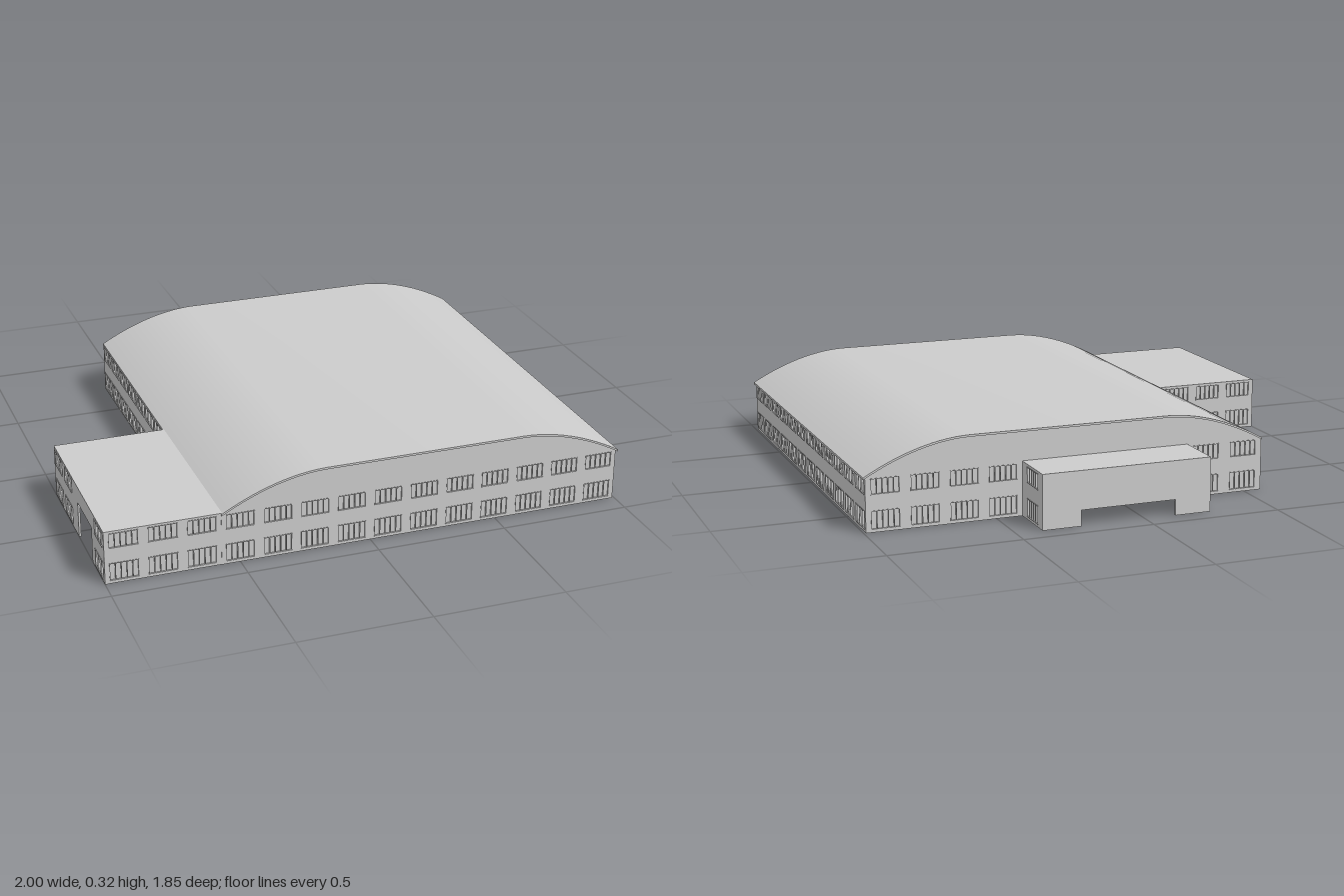
import * as THREE from 'three';
import { toCreasedNormals } from 'three/addons/utils/BufferGeometryUtils.js';

const material = new THREE.MeshStandardMaterial({ color: 0xcccccc, side: THREE.DoubleSide });

const WALL_H = 0.205, WALL_T = 0.008, PITCH = 0.138, WIN_W = 0.108;
const WINDOW_ROWS = [[0.01, 0.08], [0.138, 0.198]];
const X0 = -0.57, X1 = 1, BACK = -0.73, FRONT = 0.92;      // hall
const ANNEX_X = -1, ANNEX_BACK = 0.18, ANNEX_FRONT = 0.915; // side annex
const PORCH = { x0: -0.26, x1: 0.4, back: -0.925, inner: -0.53 };

function mesh(name, geometry) {
  const m = new THREE.Mesh(geometry, material);
  m.name = name;
  return m;
}

function box(name, x0, x1, y0, y1, z0, z1) {
  const m = mesh(name, new THREE.BoxGeometry(x1 - x0, y1 - y0, z1 - z0));
  m.position.set((x0 + x1) / 2, (y0 + y1) / 2, (z0 + z1) / 2);
  return m;
}

function rectPath(Type, x0, x1, y0, y1) {
  return new Type([[x0, y0], [x1, y0], [x1, y1], [x0, y1]].map(p => new THREE.Vector2(...p)));
}

// Glazing: a recessed pane with rails and mullions
function windowUnit(x, [y0, y1]) {
  const g = new THREE.Group();
  g.name = 'window';
  const x1 = x + WIN_W, bar = 0.0025;
  g.add(box('pane', x, x1, y0, y1, -0.006, -0.005));
  for (const y of [y0, y1 - bar]) g.add(box('rail', x, x1, y, y + bar, -0.007, 0.002));
  for (let i = 0; i <= 5; i++) {
    const c = x + ((WIN_W - bar) * i) / 5;
    g.add(box('mullion', c, c + bar, y0, y1, -0.007, 0.001));
  }
  return g;
}

// Straight wall between two plan points, facing outward; opening = [from, to, height]
function wall(name, [ax, az], [bx, bz], { windows = true, opening = null } = {}) {
  const g = new THREE.Group();
  g.name = name;
  const length = Math.hypot(bx - ax, bz - az);
  const outline = [[0, 0]];
  if (opening) {
    const [a, b, h] = opening;
    outline.push([a, 0], [a, h], [b, h], [b, 0]);
  }
  outline.push([length, 0], [length, WALL_H], [0, WALL_H]);
  const shape = new THREE.Shape(outline.map(p => new THREE.Vector2(...p)));

  const count = windows ? Math.max(1, Math.round(length / PITCH)) : 0;
  for (let i = 0; i < count; i++) {
    const x = ((i + 0.5) * length) / count - WIN_W / 2;
    for (const row of WINDOW_ROWS) {
      const blocked = opening && x < opening[1] + 0.005 && x + WIN_W > opening[0] - 0.005 &&
        row[0] < opening[2] + 0.005;
      if (blocked) continue;
      shape.holes.push(rectPath(THREE.Path, x, x + WIN_W, ...row));
      g.add(windowUnit(x, row));
    }
  }
  const geo = new THREE.ExtrudeGeometry(shape, { depth: WALL_T, bevelEnabled: false });
  geo.translate(0, 0, -WALL_T);
  g.add(mesh('wallPanel', geo));
  g.position.set(ax, 0, az);
  g.rotation.y = Math.atan2(az - bz, bx - ax);
  return g;
}

// Roof height: flat crown with a curved shoulder on each side
const SHOULDER = 0.4, RISE = 0.12;
function roofY(x) {
  const d = Math.min(x - X0, X1 - x);
  const t = 1 - Math.min(1, d / SHOULDER);
  return WALL_H + RISE * (1 - Math.pow(t, 1.9));
}

// Curved strip following the roof, between two depths below its surface
function archStrip(name, top, bottom, z0, z1) {
  const xs = [];
  for (let i = 0; i <= 14; i++) xs.push(X0 + (SHOULDER * i) / 14);
  for (let i = 0; i <= 14; i++) xs.push(X1 - SHOULDER + (SHOULDER * i) / 14);
  const pts = xs.map(x => new THREE.Vector2(x, roofY(x) - bottom));
  pts.push(...xs.reverse().map(x => new THREE.Vector2(x, roofY(x) - top)));
  const geo = new THREE.ExtrudeGeometry(new THREE.Shape(pts), { depth: z1 - z0, bevelEnabled: false });
  geo.translate(0, 0, z0);
  return mesh(name, toCreasedNormals(geo, 0.5));
}

// Gable infill under the arch
function gable(name, z) {
  const pts = [];
  for (let i = 0; i <= 48; i++) {
    const x = X0 + 0.01 + ((X1 - X0 - 0.02) * i) / 48;
    pts.push(new THREE.Vector2(x, roofY(x) - 0.004));
  }
  pts.push(new THREE.Vector2(X1 - 0.01, WALL_H - 0.004), new THREE.Vector2(X0 + 0.01, WALL_H - 0.004));
  const geo = new THREE.ExtrudeGeometry(new THREE.Shape(pts), { depth: WALL_T, bevelEnabled: false });
  geo.translate(0, 0, z);
  return mesh(name, geo);
}

export function createModel() {
  const model = new THREE.Group();
  model.name = 'hallBuilding';
  const f = FRONT - 0.006, b = BACK + 0.006, e = X1 - 0.008;

  // Hall walls
  model.add(
    wall('frontWall', [X0, f], [e, f]),
    wall('leftWall', [e, f], [e, b]),
    wall('backWallLeft', [e, b], [PORCH.x1, b]),
    wall('backWallRight', [PORCH.x0, b], [X0, b]),
    wall('rightWall', [X0, b], [X0, ANNEX_BACK]),
    gable('frontGable', f - WALL_T),
    gable('backGable', b)
  );

  // Curved roof with arch ribs and lengthwise purlins beneath
  model.add(archStrip('hallRoof', 0, 0.008, BACK, FRONT));
  const ribs = 12;
  for (let i = 1; i < ribs; i++) {
    const z = BACK + ((FRONT - BACK) * i) / ribs;
    model.add(archStrip('roofRib', 0.007, 0.02, z - 0.004, z + 0.004));
  }
  for (let i = 1; i < 11; i++) {
    const x = X0 + ((X1 - X0) * i) / 11, y = roofY(x);
    model.add(box('purlin', x - 0.004, x + 0.004, y - 0.02, y - 0.006, BACK + 0.02, FRONT - 0.02));
  }

  // Side annex, open to the hall, with a gateway in its outer wall
  model.add(
    wall('annexFrontWall', [ANNEX_X, ANNEX_FRONT - 0.002], [X0, ANNEX_FRONT - 0.002]),
    wall('annexBackWall', [X0, ANNEX_BACK], [ANNEX_X, ANNEX_BACK]),
    wall('annexSideWall', [ANNEX_X, ANNEX_BACK], [ANNEX_X, ANNEX_FRONT], { opening: [0.36, 0.56, 0.14] }),
    box('annexRoof', ANNEX_X, X0 + 0.01, WALL_H - 0.006, WALL_H + 0.002, ANNEX_BACK, ANNEX_FRONT)
  );
  for (let i = 1; i < 6; i++) {
    const z = ANNEX_BACK + ((ANNEX_FRONT - ANNEX_BACK) * i) / 6;
    model.add(box('annexBeam', ANNEX_X + 0.01, X0, WALL_H - 0.018, WALL_H - 0.005, z - 0.004, z + 0.004));
  }
  for (let i = 1; i < 4; i++) {
    const x = ANNEX_X + ((X0 - ANNEX_X) * i) / 3 - 0.004;
    model.add(box('annexPurlin', x, x + 0.008, WALL_H - 0.018, WALL_H - 0.005, ANNEX_BACK + 0.01, ANNEX_FRONT - 0.01));
  }

  // Entrance vestibule running through the back wall
  const { x0, x1, back, inner } = PORCH;
  const door = [0.15, 0.52, 0.06];
  model.add(
    wall('porchBackWall', [x1, back], [x0, back], { windows: false, opening: door }),
    wall('porchInnerWall', [x0, inner], [x1, inner], {
      windows: false, opening: [x1 - x0 - door[1], x1 - x0 - door[0], door[2]]
    }),
    wall('porchLeftWall', [x1, BACK], [x1, back]),
    wall('porchRightWall', [x0, back], [x0, BACK]),
    wall('porchInnerLeftWall', [x1, inner], [x1, BACK], { windows: false }),
    wall('porchInnerRightWall', [x0, BACK], [x0, inner], { windows: false }),
    box('porchRoof', x0, x1, WALL_H - 0.006, WALL_H + 0.002, back, inner)
  );
  return model;
}
